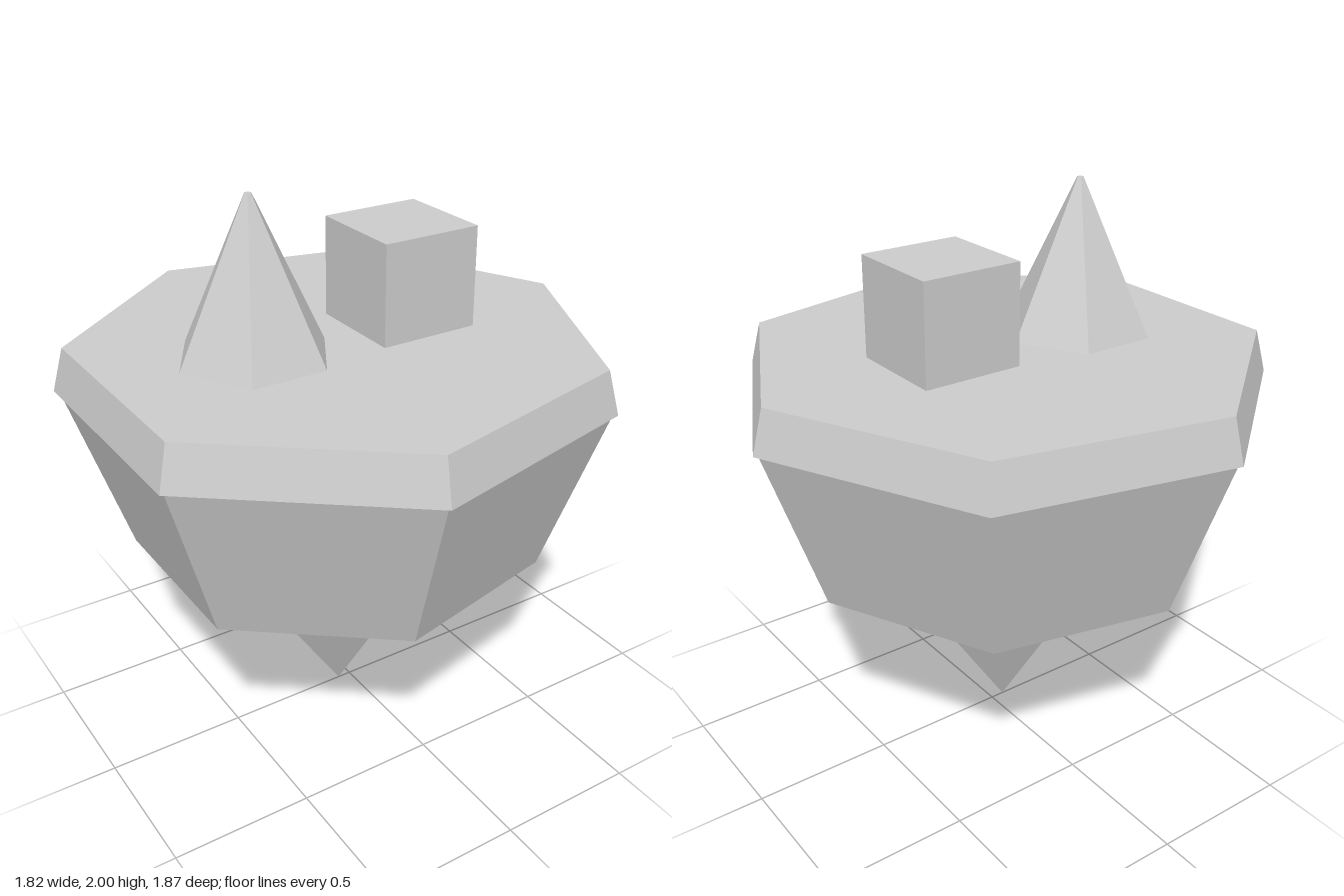
import * as THREE from 'three';

export function createModel() {
  const model = new THREE.Group();
  const grey = new THREE.MeshStandardMaterial({ color: 0xcccccc, flatShading: true });
  grey.name = 'plain grey';

  function add(name, geometry, x, y, z = 0) {
    const mesh = new THREE.Mesh(geometry, grey);
    mesh.name = name;
    mesh.position.set(x, y, z);
    model.add(mesh);
    return mesh;
  }

  // Tapered prism between two heights, with one corner pointing to +x
  function prism(name, sides, rTop, rBottom, yBottom, yTop, x) {
    const h = yTop - yBottom;
    const geometry = new THREE.CylinderGeometry(rTop, rBottom, h, sides, 1, false, Math.PI / 2);
    return add(name, geometry, x, yBottom + h / 2);
  }

  const axis = -0.05;

  // Seven-sided body and the slightly wider rim slab on top
  prism('body', 7, 0.944, 0.736, 0.695, 1.306, axis);
  prism('rim', 7, 0.918, 0.96, 1.305, 1.46, axis);

  // Stretched octahedron hanging below, its top buried in the body
  add('lowerSpike', new THREE.OctahedronGeometry(0.365), axis, 0.555).scale.y = 0.555 / 0.365;

  // Six-sided spire and cube standing on the rim
  prism('spire', 6, 0.012, 0.27, 1.46, 2, -0.37);
  add('cube', new THREE.BoxGeometry(0.367, 0.367, 0.367), 0.205, 1.632);

  return model;
}
